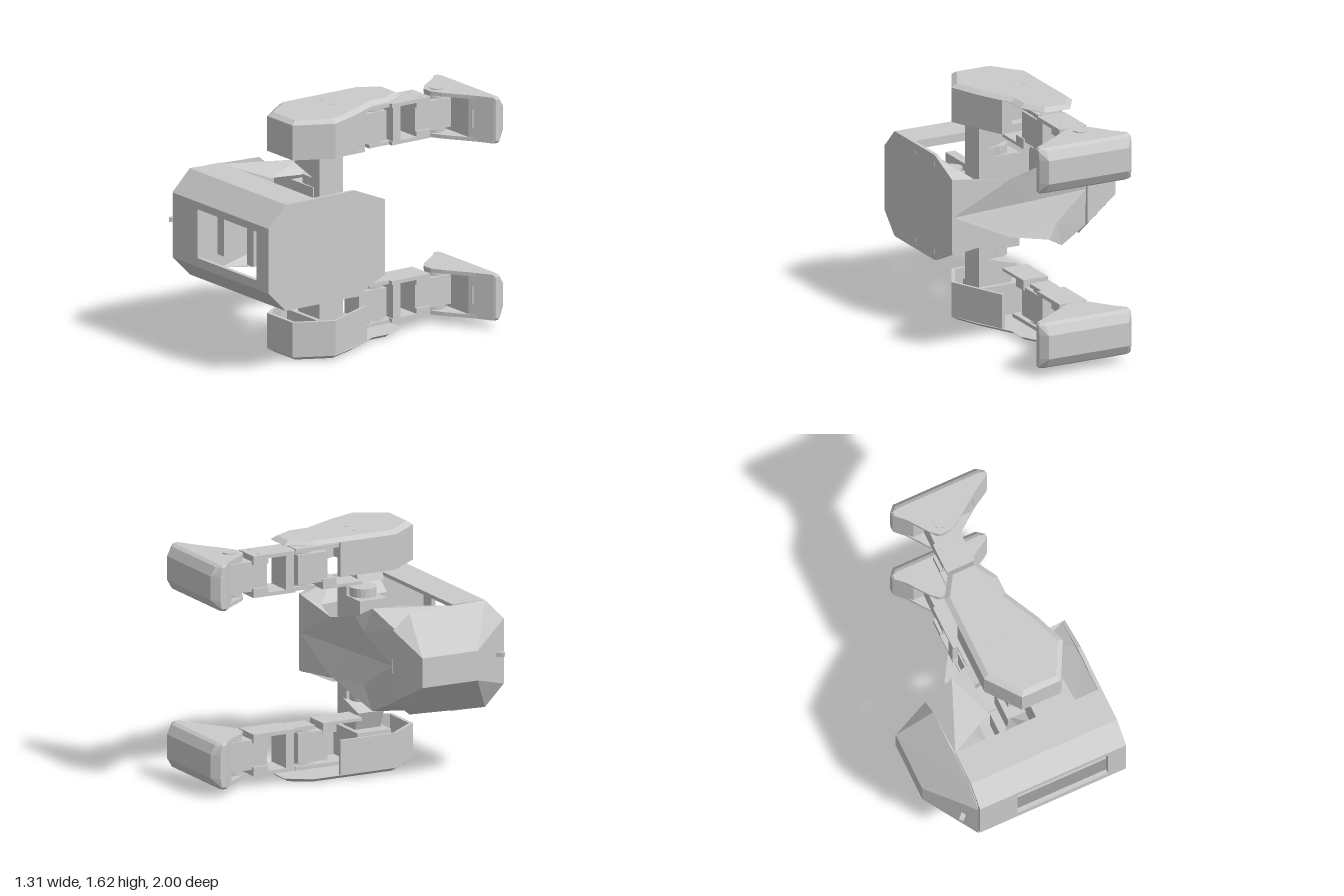
import * as THREE from 'three';
import { ConvexGeometry } from 'three/addons/geometries/ConvexGeometry.js';

const mat = new THREE.MeshStandardMaterial({ color: 0xcccccc, flatShading: true, side: THREE.DoubleSide });
const MID = 0.81; // height of the mirror plane between the two legs

function add(parent, name, geometry) {
  const m = new THREE.Mesh(geometry, mat);
  m.name = name;
  parent.add(m);
  return m;
}

// Box given by its extents on each axis
function box(parent, name, [x0, x1], [y0, y1], [z0, z1]) {
  const m = add(parent, name, new THREE.BoxGeometry(x1 - x0, Math.abs(y1 - y0), z1 - z0));
  m.position.set((x0 + x1) / 2, (y0 + y1) / 2, (z0 + z1) / 2);
  return m;
}

function hull(parent, name, pts) {
  return add(parent, name, new ConvexGeometry(pts.map(p => new THREE.Vector3(...p))));
}

function disc(parent, name, r, h, pos, axis = 'y', sides = 20) {
  const g = new THREE.CylinderGeometry(r, r, h, sides);
  if (axis === 'x') g.rotateZ(Math.PI / 2);
  if (axis === 'z') g.rotateX(Math.PI / 2);
  add(parent, name, g).position.set(...pos);
}

// Outline in (x, z) extruded along y towards side s, starting at s * y0
function prism(parent, name, outline, y0, depth, s, bevel) {
  const shape = new THREE.Shape(outline.map(([x, z]) => new THREE.Vector2(x, -s * z)));
  const g = new THREE.ExtrudeGeometry(shape, { depth, bevelEnabled: false, ...bevel });
  // Keep the bevel on the outer side only
  const p = g.attributes.position;
  for (let i = 0; i < p.count; i++) p.setZ(i, Math.max(p.getZ(i), 0));
  g.rotateX(-s * Math.PI / 2).translate(0, s * y0, 0);
  return add(parent, name, g);
}

// Outline in (z, y) extruded along x
function sidePrism(parent, name, outline, x0, x1) {
  const shape = new THREE.Shape(outline.map(([z, y]) => new THREE.Vector2(-z, y)));
  const g = new THREE.ExtrudeGeometry(shape, { depth: x1 - x0, bevelEnabled: false });
  g.rotateY(Math.PI / 2).translate(x0, 0, 0);
  return add(parent, name, g);
}

// Folded sheet from triangles of points
function sheet(parent, name, tris) {
  const g = new THREE.BufferGeometry();
  g.setAttribute('position', new THREE.Float32BufferAttribute(tris.flat(2), 3));
  g.computeVertexNormals();
  return add(parent, name, g);
}

function buildBody() {
  const body = new THREE.Group();
  body.name = 'body';

  // Front shell: bent upper and lower strips and a front plate with a window
  for (const s of [1, -1]) {
    const strip = [[0.62, 0.36], [0.86, 0.36], [1, 0.22], [0.97, 0.21], [0.845, 0.335], [0.62, 0.335]];
    sidePrism(body, 'shellStrip', strip.map(([z, y]) => [z, s * y]), -0.4, 0.63);
  }
  const rect = (P, x0, y0, x1, y1) => {
    const p = new P();
    p.moveTo(x0, y0); p.lineTo(x1, y0); p.lineTo(x1, y1); p.lineTo(x0, y1); p.closePath();
    return p;
  };
  const plate = rect(THREE.Shape, -0.4, -0.22, 0.63, 0.22);
  plate.holes.push(rect(THREE.Path, -0.13, -0.16, 0.52, 0.17));
  add(body, 'frontPlate', new THREE.ExtrudeGeometry(plate, { depth: 0.03, bevelEnabled: false }).translate(0, 0, 0.97));

  // Octagonal end plate with screws
  const oct = [[0.06, -0.25], [0.06, 0.26], [0.3, 0.36], [0.86, 0.36], [1, 0.22], [1, -0.22], [0.86, -0.36], [0.3, -0.36]];
  sidePrism(body, 'endPlate', oct, 0.625, 0.65);
  for (const s of [1, -1])
    for (const [z, y] of [[0.84, 0.3], [0.58, 0.3], [0.31, 0.3], [0.945, 0.2]])
      disc(body, 'screw', 0.018, 0.004, [0.65, s * y, z], 'x', 3);

  // Tapered cap at the other end with its knob
  const capRim = [[0.18, 0.24], [0.3, 0.34], [0.86, 0.36], [1, 0.22]];
  const capEnd = [[0.26, 0.1], [0.67, 0.1]];
  hull(body, 'taperedCap', [1, -1].flatMap(s => [
    ...capRim.map(([z, y]) => [-0.41, s * y, z]),
    ...capEnd.map(([z, y]) => [-0.66, s * y, z])]));
  const knob = box(body, 'knob', [-0.53, -0.41], [-0.01, 0.02], [0.89, 0.92]);
  knob.rotation.y = Math.PI / 4;

  // Folded back panel, peaked on one side, with flaps around the hip openings
  const a0 = [0.64, 0, 0.06], m = [0, 0, 0.13], d0 = [-0.4, 0, 0.18];
  for (const s of [1, -1]) {
    const a = [0.64, s * 0.26, 0.06], b = [0.22, s * 0.2, 0.06], c = [-0.08, s * 0.27, 0.08];
    const p = [-0.2, s * 0.345, 0.14], q = [-0.14, s * 0.18, 0.11], d = [-0.4, s * 0.25, 0.19];
    const e = [-0.4, s * 0.35, 0.62], f = [-0.08, s * 0.3, 0.45];
    const g = [0.46, s * 0.22, 0.12], h = [0.48, s * 0.24, 0.62], i = [0.64, s * 0.34, 0.3], j = [0.64, s * 0.35, 0.62];
    sheet(body, 'backPanel', [
      [a, b, a0], [a0, b, m], [b, q, m], [b, c, q], [c, p, q], [p, d, q], [q, d, d0], [q, d0, m]]);
    sheet(body, 'hipFlap', [[c, p, f], [p, d, e], [p, e, f], [a, g, b], [a, i, g], [i, h, g], [i, j, h]]);
  }

  // Motor, bracket and slanted ribs behind the window
  box(body, 'motor', [0.28, 0.45], [-0.1, 0.11], [0.4, 0.72]);
  for (const y of [-0.12, 0.13]) disc(body, 'motorHorn', 0.07, 0.03, [0.365, y, 0.6]);
  box(body, 'motorBracket', [0.21, 0.28], [-0.15, 0.16], [0.35, 0.85]);
  sheet(body, 'innerRib', [
    [[-0.02, -0.2, 0.5], [0.18, -0.2, 0.6], [0.05, 0.2, 0.5]],
    [[0.18, -0.2, 0.6], [0.18, 0.2, 0.6], [0.05, 0.2, 0.5]]]);
  box(body, 'innerWall', [-0.13, -0.06], [-0.16, 0.17], [0.8, 0.84]);
  return body;
}

// One leg; s is +1 for the upper and -1 for the lower
function buildLeg(s) {
  const leg = new THREE.Group();
  leg.name = s > 0 ? 'upperLeg' : 'lowerLeg';
  const b = (name, x, [y0, y1], z) => box(leg, name, x, [s * y0, s * y1], z);

  // Hip connector reaching into the body
  hull(leg, 'hipConnector', [0.2, 0.39].flatMap(z => [
    [0.2, s * 0.42, z], [0.38, s * 0.36, z], [0.38, s * 0.57, z], [0.15, s * 0.57, z], [0.1, s * 0.44, z]]));
  b('hipPost', [0.26, 0.38], [0.15, 0.38], [0.2, 0.39]);
  b('hipMotor', [0.08, 0.32], [0.12, 0.32], [0.2, 0.4]);
  disc(leg, 'hipHorn', 0.09, 0.06, [0.22, s * 0.35, 0.3]);
  b('thighMotor', [0.06, 0.38], [0.56, 0.77], [0.17, 0.42]);

  // Thigh shell: wall open at the back, bevelled cover plate on the outside
  prism(leg, 'thighWall', [
    [-0.08, -0.03], [-0.08, 0.38], [0.09, 0.6], [0.37, 0.6], [0.5, 0.35], [0.33, -0.03],
    [0.31, -0.03], [0.475, 0.345], [0.355, 0.575], [0.1, 0.575], [-0.06, 0.375], [-0.06, -0.03]], 0.55, 0.235, s);
  prism(leg, 'thighCover', [
    [0.02, -0.39], [0.21, -0.39], [0.3, -0.23], [0.3, -0.1], [0.42, 0.14], [0.5, 0.35],
    [0.37, 0.6], [0.09, 0.6], [-0.08, 0.38], [-0.08, -0.23]], 0.784, 0.002, s,
  { bevelEnabled: true, bevelThickness: 0.024, bevelSize: 0.035, bevelOffset: -0.035, bevelSegments: 1 });
  for (const x of [0.07, 0.17]) disc(leg, 'coverScrew', 0.016, 0.004, [x, s * 0.81, 0.15], 'y', 4);

  // Knee: bracket plates, motor and horns
  b('kneePlateInner', [0.03, 0.21], [0.45, 0.47], [-0.1, 0.19]);
  b('kneePlateOuter', [0.03, 0.21], [0.72, 0.745], [-0.3, 0.05]);
  b('kneeWeb', [0.03, 0.21], [0.46, 0.52], [-0.1, 0]);
  b('kneeMotor', [0.04, 0.2], [0.5, 0.7], [-0.28, -0.06]);
  for (const y of [0.485, 0.71]) disc(leg, 'kneeHorn', 0.07, 0.035, [0.12, s * y, -0.22]);

  // Shin: C-shaped bracket joining knee and ankle motors
  for (const [y0, y1] of [[0.46, 0.485], [0.715, 0.74]]) {
    b('shinPlate', [0.02, 0.22], [y0, y1], [-0.62, -0.31]);
    b('kneeTab', [0.05, 0.19], [y0, y1], [-0.32, -0.15]);
  }
  b('shinWeb', [0.02, 0.22], [0.47, 0.73], [-0.38, -0.32]);
  b('shinEnd', [0.02, 0.22], [0.48, 0.52], [-0.62, -0.51]);
  b('shinEnd', [0.02, 0.22], [0.68, 0.72], [-0.62, -0.51]);
  for (const x of [0.06, 0.19]) disc(leg, 'shinScrew', 0.014, 0.006, [x, s * 0.741, -0.56], 'y', 3);
  b('ankleMotor', [0.04, 0.2], [0.5, 0.7], [-0.8, -0.51]);
  for (const y of [0.485, 0.715]) disc(leg, 'ankleHorn', 0.07, 0.035, [0.12, s * y, -0.73]);

  // Foot: rounded sole block and two triangular side plates
  const level = (y, rim, back, inset) => [
    [-0.03, -0.81], [0.38, -0.81], [0.545 - inset, rim], [0.545 - inset, rim - 0.03],
    [0.5, back], [-0.09, back], [-0.135 + inset, rim - 0.03], [-0.135 + inset, rim]
  ].map(([x, z]) => [x, s * y, z]);
  hull(leg, 'sole', [
    ...level(0.445, -0.9, -0.94, 0.012), ...level(0.46, -0.91, -0.965, 0), ...level(0.52, -0.92, -1, 0),
    ...level(0.68, -0.92, -1, 0), ...level(0.74, -0.91, -0.965, 0), ...level(0.755, -0.9, -0.94, 0.012)]);
  for (const y of [0.445, 0.73])
    prism(leg, 'footPlate', [[0.09, -0.66], [0.17, -0.66], [0.24, -0.7], [0.5, -0.89], [-0.1, -0.89], [0.04, -0.7]], y, 0.025, s);
  disc(leg, 'anklePin', 0.05, 0.01, [0.13, s * 0.757, -0.74], 'y', 8);
  for (const x of [0.06, 0.35]) disc(leg, 'soleHole', 0.018, 0.004, [x, s * 0.6, -0.998], 'z', 12);
  const slot = b('footSlot', [0.4, 0.415], [0.54, 0.66], [-0.85, -0.82]);
  slot.rotation.y = -0.57;
  return leg;
}

export function createModel() {
  const model = new THREE.Group();
  model.name = 'walkingRobot';
  const parts = new THREE.Group();
  parts.name = 'assembly';
  parts.position.y = MID;
  parts.add(buildBody(), buildLeg(1), buildLeg(-1));
  model.add(parts);
  return model;
}
